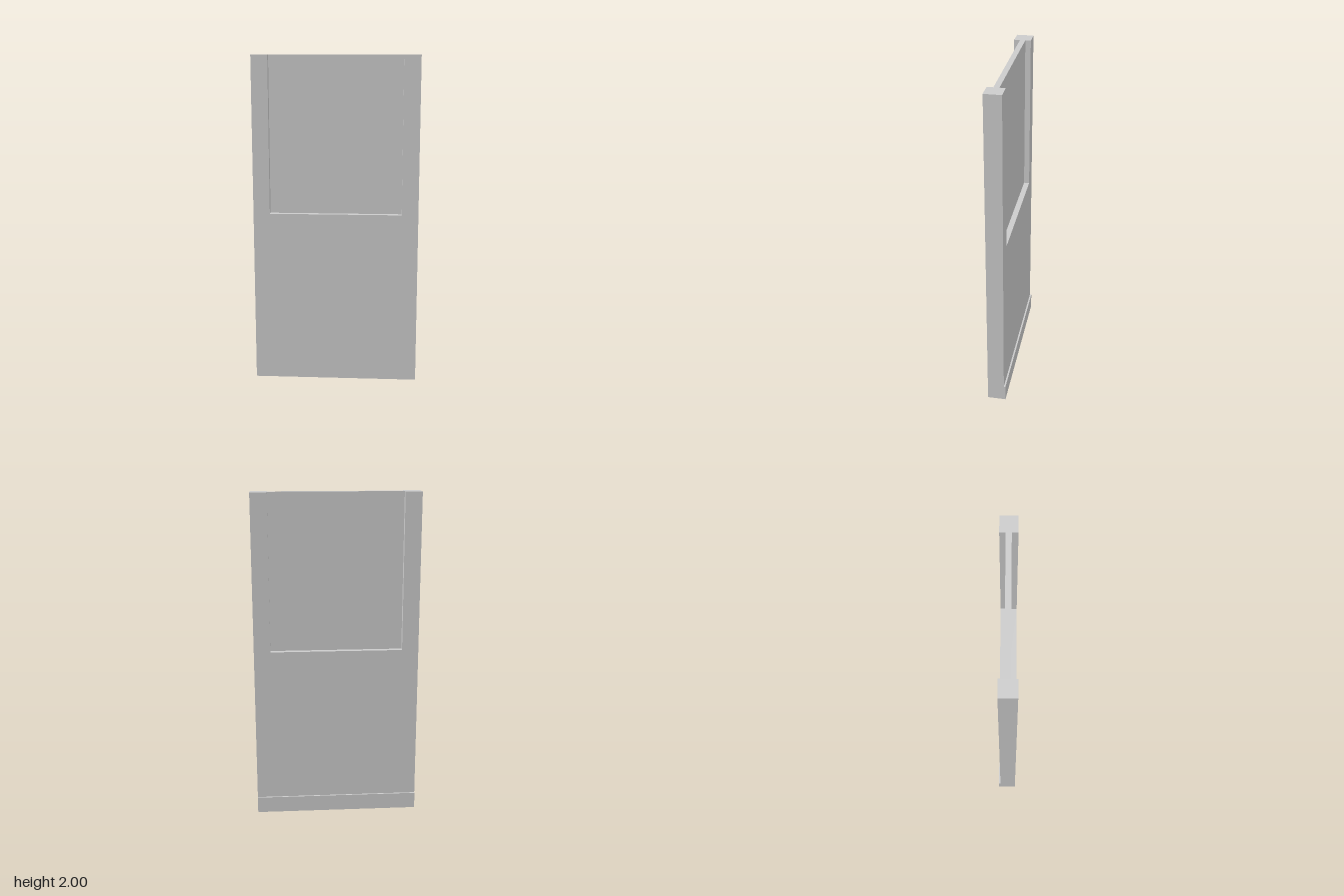
import * as THREE from 'three';

const W = 1, H = 2;               // overall width and height
const BACK = -0.045, FRONT = 0.055; // faces of the main slab
const POST = 0.1, SILL = 1.05;    // side post width, recess floor height

export function createModel() {
  const group = new THREE.Group();
  const material = new THREE.MeshStandardMaterial({ color: 0xcccccc, flatShading: true });

  const add = (name, geometry) => {
    const mesh = new THREE.Mesh(geometry, material);
    mesh.name = name;
    group.add(mesh);
    return mesh;
  };
  const addBox = (name, w, y0, y1, z0, z1) =>
    add(name, new THREE.BoxGeometry(w, y1 - y0, z1 - z0))
      .position.set(0, (y0 + y1) / 2, (z0 + z1) / 2);

  // U-shaped slab: solid lower half with a post on each side
  const x = W / 2, inner = x - POST;
  const outline = new THREE.Shape([
    [-x, 0], [x, 0], [x, H], [inner, H],
    [inner, SILL], [-inner, SILL], [-inner, H], [-x, H],
  ].map(([px, py]) => new THREE.Vector2(px, py)));
  const slab = new THREE.ExtrudeGeometry(outline, { depth: FRONT - BACK, bevelEnabled: false });
  slab.translate(0, 0, BACK);
  add('wallPanel', slab);

  // Thin pane set back between the posts
  addBox('recessedPane', inner * 2, SILL, H, -0.012, 0.02);

  // Skirting strip along the bottom of the back
  addBox('skirtingBoard', W, 0, 0.1, -0.055, BACK);

  return group;
}
